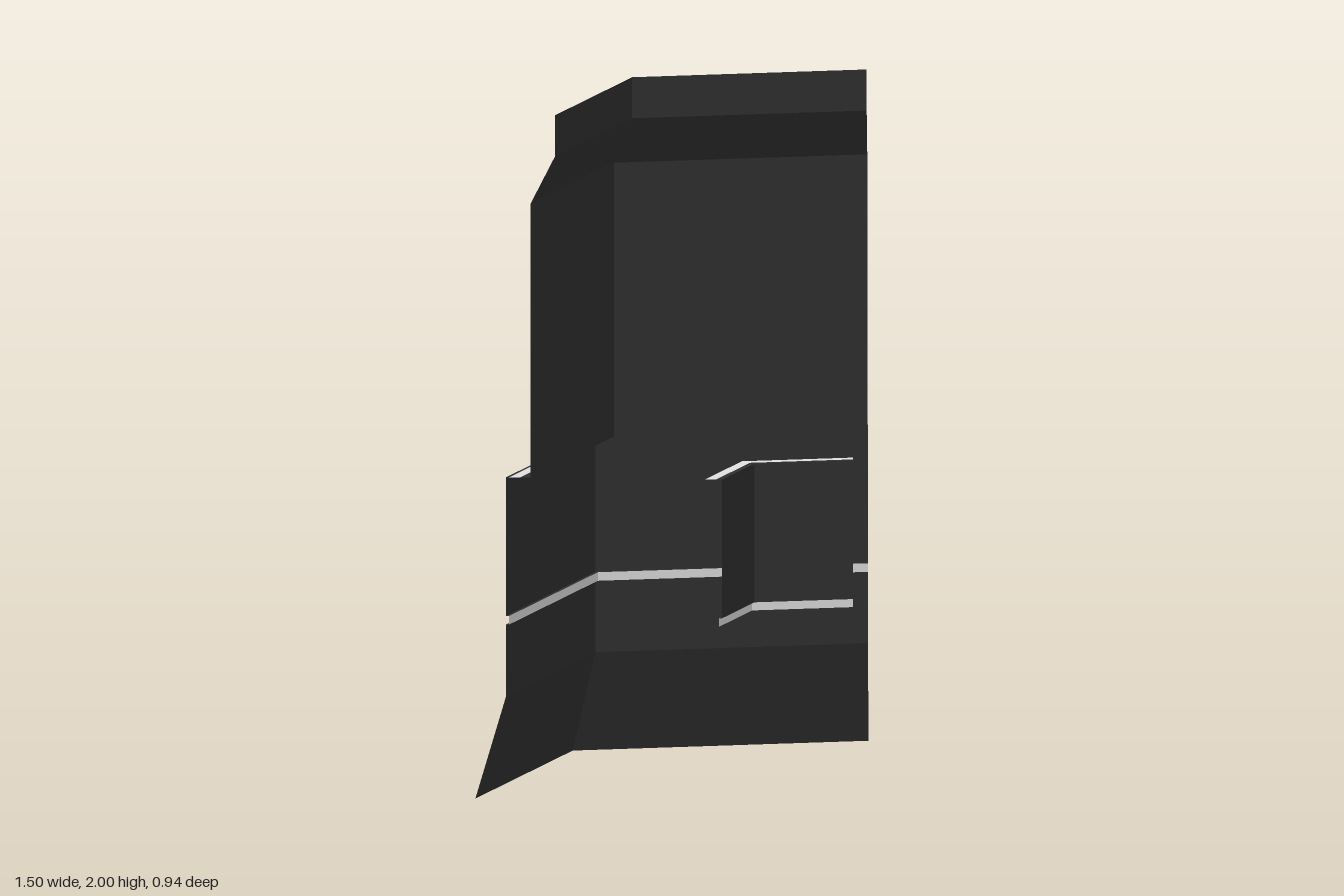
import * as THREE from 'three';

// Sheet bent into a V: profile points are [apexZ, y]; each wing runs forward at 30 degrees.
// The wing length follows a mitred end line: tipX = reach - 0.6 * apexZ.
function chevronSheet(name, profile, reach, material) {
  const pos = [];
  const row = ([a, y]) => {
    const x = reach - 0.6 * a;
    const z = a + x * Math.tan(Math.PI / 6);
    return [[-x, y, z], [0, y, a], [x, y, z]];
  };
  for (let i = 0; i < profile.length - 1; i++) {
    const lo = row(profile[i]), hi = row(profile[i + 1]);
    for (let j = 0; j < 2; j++) {
      pos.push(...lo[j], ...lo[j + 1], ...hi[j + 1], ...lo[j], ...hi[j + 1], ...hi[j]);
    }
  }
  const geo = new THREE.BufferGeometry();
  geo.setAttribute('position', new THREE.Float32BufferAttribute(pos, 3));
  geo.computeVertexNormals();
  const mesh = new THREE.Mesh(geo, material);
  mesh.name = name;
  return mesh;
}

export function createModel() {
  const dark = new THREE.MeshStandardMaterial({ color: 0x303030, side: THREE.DoubleSide });
  dark.name = 'charcoal';
  const light = new THREE.MeshStandardMaterial({ color: 0xe0e0e0, side: THREE.DoubleSide });
  light.name = 'pale trim';

  const model = new THREE.Group();
  model.name = 'foldedPanel';

  // Large folded wall
  const wall = new THREE.Group();
  wall.name = 'wall';
  const R = 0.47;
  wall.add(
    chevronSheet('flaredSkirt', [[-0.47, 0], [-0.37, 0.3], [-0.37, 0.51], [-0.36, 0.51]], R, dark),
    chevronSheet('wallTrim', [[-0.36, 0.51], [-0.36, 0.535]], R, light),
    chevronSheet('middleBand', [[-0.36, 0.535], [-0.37, 0.535], [-0.37, 0.94], [-0.36, 0.94]], R, dark),
    chevronSheet('ledgeTrim', [[-0.36, 0.94], [-0.325, 0.94]], R, light),
    chevronSheet('upperWall',
      [[-0.325, 0.94], [-0.29, 0.94], [-0.29, 1.74], [-0.21, 1.88], [-0.21, 2]], R, dark)
  );

  // Small folded panel standing in front
  const shield = new THREE.Group();
  shield.name = 'frontPanel';
  const S = 0.445;
  shield.add(
    chevronSheet('panelTrim', [[0.315, 0.51], [0.315, 0.535]], S, light),
    chevronSheet('panelFace',
      [[0.315, 0.535], [0.325, 0.535], [0.325, 0.94], [0.305, 0.94]], S, dark),
    chevronSheet('panelLedgeTrim', [[0.305, 0.94], [0.27, 0.94]], S, light)
  );

  model.add(wall, shield);
  return model;
}
